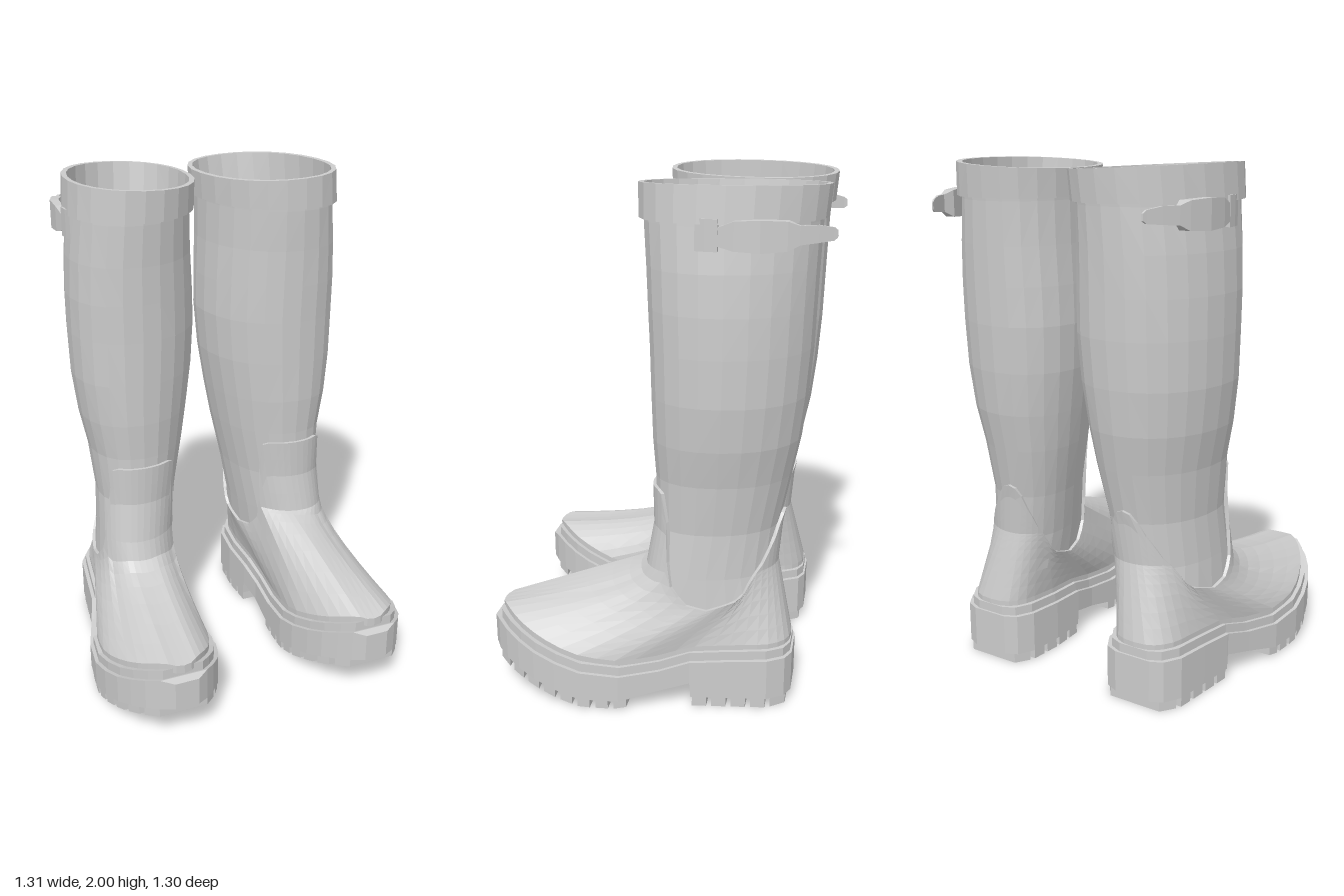
import * as THREE from 'three';

const rubber = new THREE.MeshStandardMaterial({ color: 0xcccccc, side: THREE.DoubleSide });
rubber.name = 'grey rubber';

// Shaft sections: y, inner x, outer x, back z, front z
const SHAFT = [
  [0.37, 0.185, 0.505, -0.495, 0.05], [0.52, 0.165, 0.495, -0.46, 0.025], [0.70, 0.135, 0.485, -0.475, -0.005],
  [0.90, 0.095, 0.505, -0.515, 0.0], [1.05, 0.07, 0.535, -0.545, 0.01], [1.22, 0.045, 0.555, -0.565, 0.015],
  [1.40, 0.032, 0.56, -0.578, 0.02], [1.55, 0.035, 0.56, -0.583, 0.026], [1.70, 0.042, 0.552, -0.588, 0.032],
  [1.86, 0.045, 0.535, -0.594, 0.042], [2.00, 0.04, 0.525, -0.605, 0.045],
];
// Sole sections: z, inner x, outer x, bottom y, top y
const SOLE = [
  [-0.548, 0.27, 0.42, 0.04, 0.205], [-0.525, 0.22, 0.47, 0.04, 0.205], [-0.46, 0.185, 0.51, 0.04, 0.205],
  [-0.32, 0.17, 0.53, 0.04, 0.2], [-0.17, 0.175, 0.55, 0.04, 0.19], [-0.165, 0.175, 0.55, 0.1, 0.19],
  [-0.05, 0.185, 0.585, 0.075, 0.16], [0.1, 0.175, 0.635, 0.04, 0.145], [0.25, 0.165, 0.655, 0.045, 0.16],
  [0.35, 0.173, 0.645, 0.07, 0.185], [0.44, 0.2, 0.622, 0.095, 0.212], [0.51, 0.23, 0.59, 0.118, 0.238],
  [0.57, 0.272, 0.55, 0.135, 0.262], [0.615, 0.315, 0.505, 0.148, 0.28], [0.645, 0.36, 0.455, 0.155, 0.27],
];

// Row of a table, interpolated on its first column
function sample(table, t) {
  if (t <= table[0][0]) return table[0];
  for (let i = 1; i < table.length; i++) {
    const a = table[i - 1], b = table[i];
    if (t <= b[0]) {
      const k = (t - a[0]) / (b[0] - a[0]);
      return a.map((v, j) => v + (b[j] - v) * k);
    }
  }
  return table[table.length - 1];
}

// Faceted skin over a list of closed rings; side -1 mirrors it in x
function loft(name, side, rings, caps = false) {
  const pos = [];
  const tri = (a, b, c) => {
    for (const p of side > 0 ? [a, b, c] : [a, c, b]) pos.push(p[0] * side, p[1], p[2]);
  };
  const n = rings[0].length;
  for (let r = 0; r + 1 < rings.length; r++) {
    for (let i = 0; i < n; i++) {
      const j = (i + 1) % n, lo = rings[r], hi = rings[r + 1];
      tri(lo[i], lo[j], hi[j]);
      tri(lo[i], hi[j], hi[i]);
    }
  }
  if (caps) {
    const first = rings[0], last = rings[rings.length - 1];
    for (let i = 1; i + 1 < n; i++) {
      tri(first[0], first[i + 1], first[i]);
      tri(last[0], last[i], last[i + 1]);
    }
  }
  const g = new THREE.BufferGeometry();
  g.setAttribute('position', new THREE.Float32BufferAttribute(pos, 3));
  g.computeVertexNormals();
  const mesh = new THREE.Mesh(g, rubber);
  mesh.name = name;
  return mesh;
}

// Point on the shaft: angle, height, outward offset
function shaftPoint(angle, y, off = 0) {
  const [, x0, x1, z0, z1] = sample(SHAFT, y);
  const round = (v) => Math.sign(v) * Math.abs(v) ** 0.93;
  const c = round(Math.cos(angle)), s = round(-Math.sin(angle));
  return [(x0 + x1) / 2 + c * ((x1 - x0) / 2 + off) + 0.04 * s, y, (z0 + z1) / 2 + s * ((z1 - z0) / 2 + off)];
}

// Point on the sole's top edge, a little inside its outline: angle, height above it
function solePoint(angle, rise) {
  const s = -Math.sin(angle), c = Math.cos(angle);
  const [, x0, x1, , y] = sample(SOLE, 0.045 + 0.597 * s);
  const reach = Math.abs(c) < 1e-6 ? 0 : Math.sign(c) * ((x1 - x0) / 2 - 0.03);
  return [(x0 + x1) / 2 + reach, y + rise, 0.04 + 0.578 * s];
}

const circle = (n, f) => Array.from({ length: n }, (_, i) => f((i / n) * Math.PI * 2));
const slab = (name, side, rows) => loft(name, side, rows.map(([z, a, b, lo, hi]) =>
  [[a, lo, z], [b, lo, z], [b, hi, z], [a, hi, z]]), true);

// Top edge of the foot upper, by how far forward a point lies
const COLLAR = [[-1, 0.75], [-0.93, 0.66], [-0.8, 0.57], [-0.45, 0.44], [0, 0.4], [0.3, 0.42],
  [0.55, 0.5], [0.68, 0.68], [0.75, 0.83], [0.82, 0.86], [1, 0.86]];

// How sharply the instep drops: the right one is hollow, the left one slopes
// straight along its inner ridge and sags only on the outer half
function instepCurve(angle, side) {
  const clamp = (v) => Math.min(1, Math.max(0, v));
  const front = clamp(-Math.sin(angle) * 1.5);
  return side < 0 ? 1 - 0.68 * front : 1 - 0.45 * front * clamp((Math.cos(angle) + 0.25) * 1.6);
}

// Foot upper, from the sole up: sloping to the ankle, then up the shaft to the collar
const SLOPE = [1, 0.8, 0.6, 0.4, 0.24, 0.12, 0.04];
function upperRings(side) {
  const column = (a) => {
    const top = sample(COLLAR, -Math.sin(a))[1], ankle = Math.min(top, 0.54);
    const from = shaftPoint(a, ankle, 0.012), to = solePoint(a, 0.055);
    const bend = instepCurve(a, side);
    return [
      solePoint(a, 0.02),
      ...SLOPE.map((t) => from.map((v, i) => v + (to[i] - v) * (i === 1 ? t ** bend : t))),
      ...[0, 0.25, 0.5, 0.75, 1].map((k) => shaftPoint(a, ankle + (top - ankle) * k, 0.012)),
      shaftPoint(a, top, -0.004),
    ];
  };
  const columns = circle(48, column);
  return columns[0].map((_, row) => columns.map((col) => col[row]));
}

function boot(side, name) {
  const g = new THREE.Group();
  g.name = name;

  // Leg
  g.add(loft('shaft', side, [...SHAFT.slice(0, -1).map((r) => r[0]), 1.95].map((y) => circle(24, (a) => shaftPoint(a, y)))));

  // Cuff: outer wall, rim and inner wall, tipped towards the inside
  const tip = (p, k) => [p[0], p[1] + k * (p[0] - 0.54) * 0.05, p[2]];
  g.add(loft('cuff', side, [[1.87, 0.002, 0], [1.87, 0.018, 0], [2.0, 0.018, 1], [2.0, -0.002, 1], [1.86, -0.008, 0]]
    .map(([y, off, k]) => circle(24, (a) => tip(shaftPoint(a, y, off), k)))));

  // Foot with shin tongue and heel peak
  g.add(loft('footUpper', side, upperRings(side)));

  // Sole and the narrower welt on top of it
  g.add(slab('sole', side, SOLE));
  g.add(slab('welt', side, SOLE.slice(0, -1).map(([z, a, b, , hi]) =>
    [z * 0.985, a + 0.015, b - 0.015, hi - 0.02, hi + 0.035])));

  // Tread bars
  const bar = (z, w, drop) => g.add(slab('treadBar', side, [z, z + w].map((q) => {
    const [, a, b, lo] = sample(SOLE, q);
    return [q, a + 0.004, b - 0.004, lo - drop, lo + 0.01];
  })));
  for (let i = 0; i < 5; i++) bar(-0.53 + i * 0.075, 0.055, 0.04);
  for (let i = 0; i < 8; i++) bar(0.07 + i * 0.07, 0.048, 0.035);

  // Side strap with a free tip, and its keeper loop: x, z, low y, high y, thickness
  const ribbon = (part, rows) => g.add(loft(part, side, rows.map(([x, z, lo, hi, t]) =>
    [[x, hi, z], [x, lo, z], [x - t, lo, z], [x - t, hi, z]]), true));
  ribbon('strap', [[0.56, -0.25, 1.8, 1.86, 0.03], [0.57, -0.31, 1.785, 1.885, 0.03], [0.568, -0.4, 1.78, 1.89, 0.035],
    [0.54, -0.49, 1.785, 1.885, 0.045], [0.522, -0.53, 1.805, 1.87, 0.015], [0.49, -0.59, 1.81, 1.87, 0.01],
    [0.462, -0.64, 1.815, 1.86, 0.008], [0.456, -0.652, 1.825, 1.85, 0.006]]);
  ribbon('strapLoop', [[0.55, -0.175, 1.78, 1.89, 0.03], [0.558, -0.21, 1.78, 1.89, 0.03], [0.562, -0.255, 1.78, 1.89, 0.03]]);
  return g;
}

export function createModel() {
  const model = new THREE.Group();
  model.name = 'boots';
  model.add(boot(1, 'leftBoot'), boot(-1, 'rightBoot'));
  return model;
}
